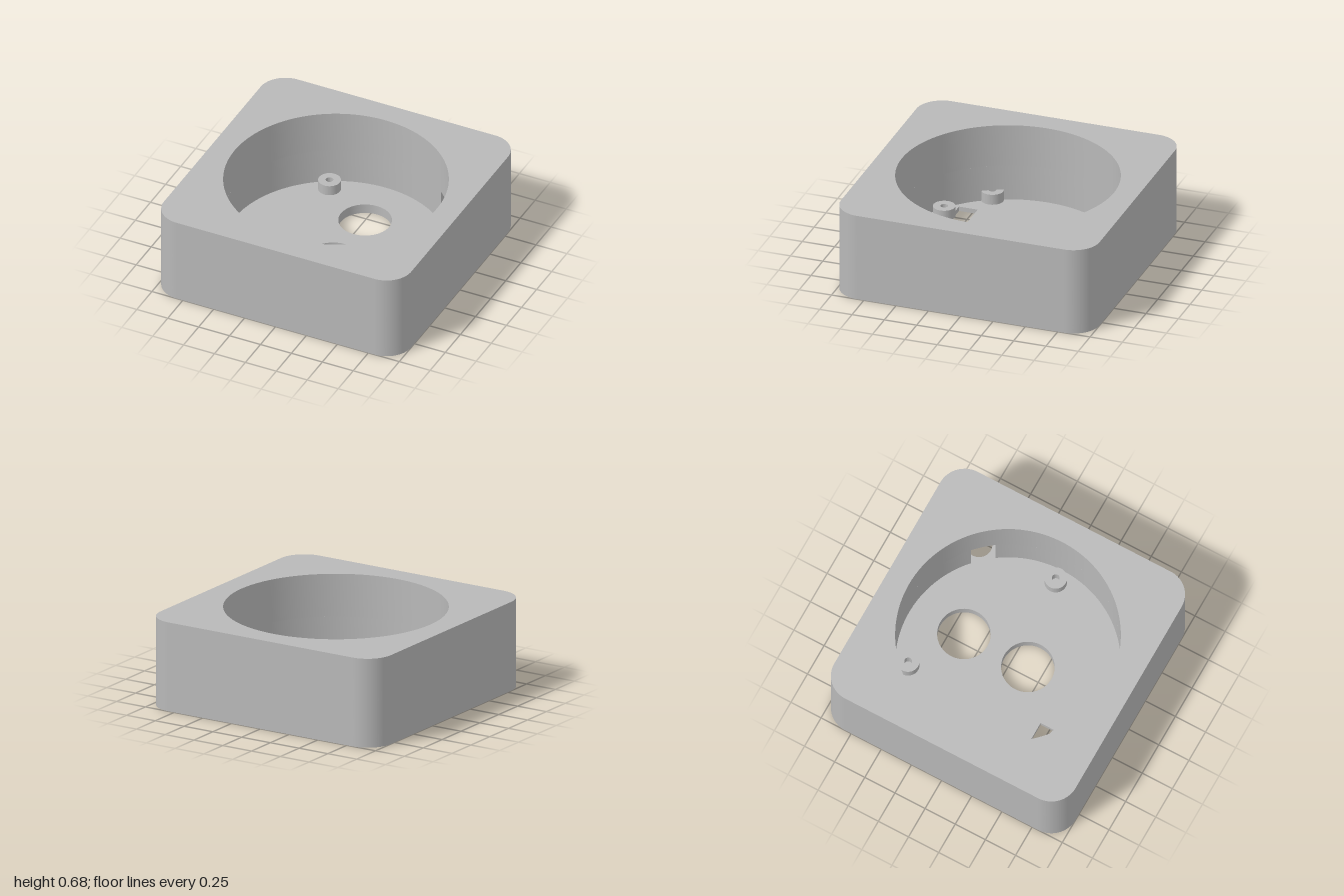
import * as THREE from 'three';
import { toCreasedNormals } from 'three/addons/utils/BufferGeometryUtils.js';

const HEIGHT = 0.675, FLOOR = 0.075, SKIN = 0.04, POCKET_TOP = 0.35;
const BORE = 0.82, POCKET = 0.167;
const pocketX = 0.715, pocketZ = -0.633;

// Plan shapes use (x, -z), so that extrusion rises along y.
function circle(x, z, r, Type = THREE.Path) {
  return new Type().absarc(x, -z, r, 0, Math.PI * 2, false);
}

function rect(x0, x1, z0, z1) {
  return new THREE.Path([[x0, z0], [x0, z1], [x1, z1], [x1, z0], [x0, z0]]
    .map(([x, z]) => new THREE.Vector2(x, -z)));
}

// Square outline with rounded corners
function outline() {
  const s = new THREE.Shape(), r = 0.2, c = 1 - r;
  [[c, c], [-c, c], [-c, -c], [c, -c]].forEach(([x, y], i) =>
    s.absarc(x, y, r, i * Math.PI / 2, (i + 1) * Math.PI / 2, false));
  s.closePath();
  return s;
}

// Round bore joined with the corner pocket
function boreWithPocket() {
  const d = Math.hypot(pocketX, pocketZ), phi = Math.atan2(-pocketZ, pocketX);
  const a = Math.acos((d * d + BORE * BORE - POCKET * POCKET) / (2 * d * BORE));
  const b = Math.acos((d * d + POCKET * POCKET - BORE * BORE) / (2 * d * POCKET));
  const p = new THREE.Path();
  p.absarc(0, 0, BORE, phi + a, phi - a + Math.PI * 2, false);
  p.absarc(pocketX, -pocketZ, POCKET, phi + Math.PI + b, phi + Math.PI * 3 - b, false);
  return p;
}

export function createModel() {
  const model = new THREE.Group();
  model.name = 'sensorHousing';
  const grey = new THREE.MeshStandardMaterial({ color: 0xb8b8b8 });
  grey.name = 'grey plastic';

  function slab(name, shape, holes, y0, y1, segments = 32) {
    shape.holes.push(...holes);
    const geo = new THREE.ExtrudeGeometry(shape, {
      depth: y1 - y0, bevelEnabled: false, curveSegments: segments,
    });
    geo.rotateX(-Math.PI / 2);
    geo.translate(0, y0, 0);
    const mesh = new THREE.Mesh(toCreasedNormals(geo, 0.6), grey);
    mesh.name = name;
    model.add(mesh);
  }

  const sensorHoles = () => [circle(0.045, -0.39, 0.195), circle(0.045, 0.14, 0.195)];

  // Floor: outer skin with cable hole and plug recess, then inner skin with window
  slab('floorOuter', outline(),
    [...sensorHoles(), circle(pocketX, pocketZ, 0.097), rect(-0.62, -0.2, 0.33, 0.67)], 0, SKIN);
  slab('floorInner', outline(),
    [...sensorHoles(), circle(pocketX, pocketZ, POCKET), rect(-0.535, -0.29, 0.43, 0.575)], SKIN, FLOOR);

  // Walls around the bore
  slab('lowerWall', outline(), [boreWithPocket()], FLOOR, POCKET_TOP, 64);
  slab('upperWall', outline(), [circle(0, 0, BORE)], POCKET_TOP, HEIGHT, 64);

  // Hollow screw posts
  [[0.72, 0], [-0.36, -0.63], [-0.36, 0.625], [-0.725, 0.385]].forEach(([x, z], i) =>
    slab('screwPost' + (i + 1), circle(x, z, 0.083, THREE.Shape),
      [circle(x, z, 0.028)], FLOOR, FLOOR + 0.08));

  return model;
}
